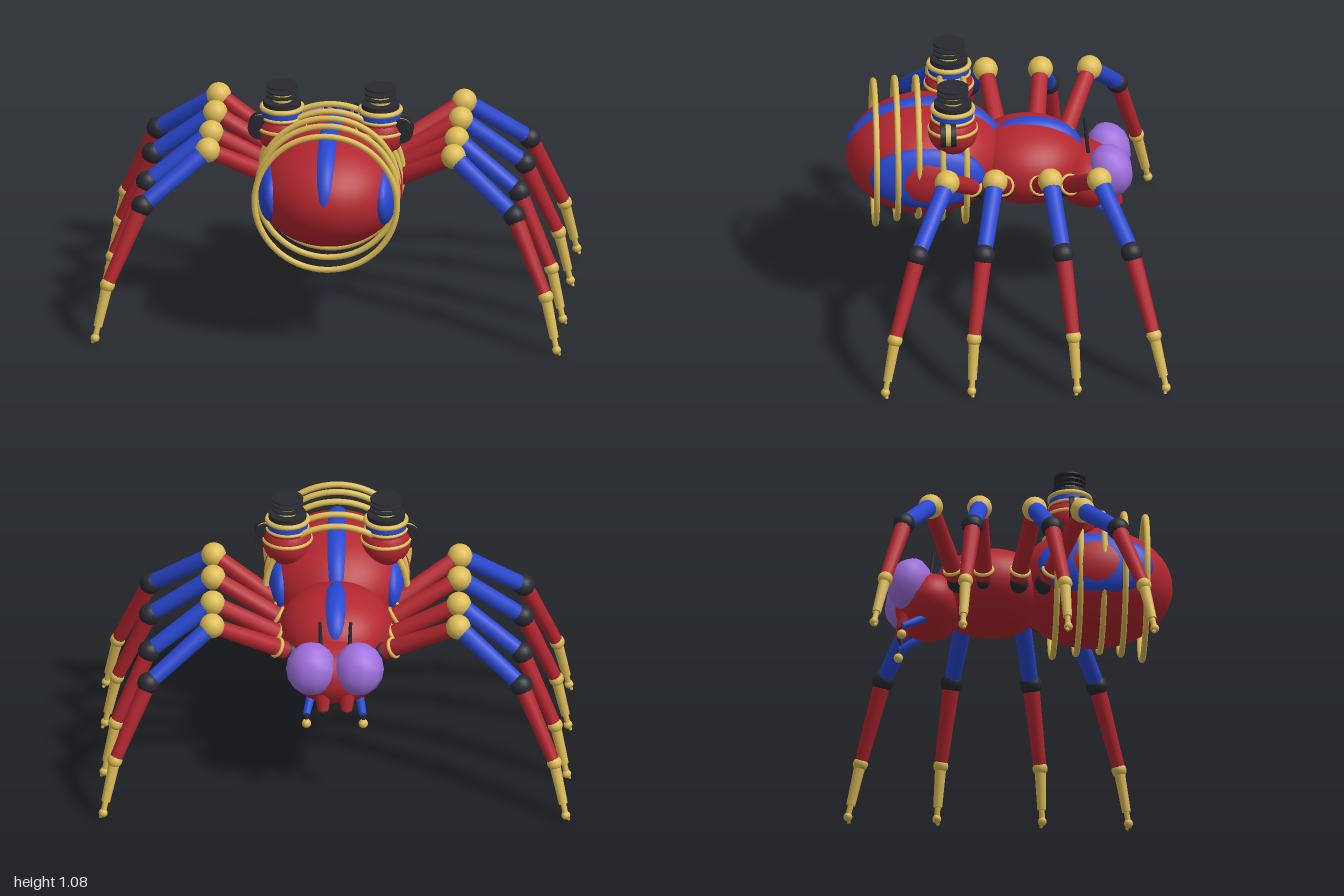
import * as THREE from 'three';

const mat = (name, color) => {
  const m = new THREE.MeshStandardMaterial({ color });
  m.name = name;
  return m;
};
const V = (x, y, z) => new THREE.Vector3(x, y, z);

export function createModel() {
  const red = mat('red', 0xb3262f), blue = mat('blue', 0x2948d0), gold = mat('gold', 0xdcbc56);
  const black = mat('black', 0x282a30), purple = mat('purple', 0x9e6edb);
  const root = new THREE.Group();
  root.name = 'mechanicalSpider';

  const add = (parent, name, geo, material, p = V(0, 0, 0)) => {
    const m = new THREE.Mesh(geo, material);
    m.name = name;
    m.position.copy(p);
    parent.add(m);
    return m;
  };
  const ellipsoid = (parent, name, material, p, rx, ry, rz, cols = 40, rows = 28) =>
    add(parent, name, new THREE.SphereGeometry(1, cols, rows).scale(rx, ry, rz), material, p);
  const ball = (parent, name, material, p, r) =>
    add(parent, name, new THREE.SphereGeometry(r, 16, 12), material, p);
  // Tapered rod running from a to b
  const rod = (parent, name, material, a, b, ra, rb, sides = 12) => {
    const d = b.clone().sub(a);
    const m = add(parent, name, new THREE.CylinderGeometry(rb, ra, d.length(), sides), material,
      a.clone().add(b).multiplyScalar(0.5));
    m.quaternion.setFromUnitVectors(V(0, 1, 0), d.normalize());
    return m;
  };
  const disc = (parent, name, material, y0, y1, r) =>
    add(parent, name, new THREE.CylinderGeometry(r, r, y1 - y0, 24), material, V(0, (y0 + y1) / 2, 0));

  // Body, with the head towards -z
  ellipsoid(root, 'abdomen', red, V(0, 0.668, 0.33), 0.31, 0.243, 0.338);
  ellipsoid(root, 'thorax', red, V(0, 0.632, -0.1), 0.24, 0.18, 0.25);
  ellipsoid(root, 'head', red, V(0, 0.56, -0.36), 0.195, 0.133, 0.145);

  // Back stripes: only a narrow band rises out of the body
  ellipsoid(root, 'abdomenStripe', blue, V(0, 0.7, 0.33), 0.105, 0.225, 0.335);
  ellipsoid(root, 'thoraxStripe', blue, V(0, 0.68, -0.12), 0.088, 0.144, 0.215);

  // Hoops around the abdomen: z, centre height, radius
  [[0.545, 0.673, 0.302], [0.455, 0.69, 0.297], [0.365, 0.695, 0.293],
    [0.265, 0.685, 0.295], [0.165, 0.675, 0.3]].forEach(([z, y, r]) =>
    add(root, 'abdomenHoop', new THREE.TorusGeometry(r, 0.013, 10, 64), gold, V(0, y, z)));

  // Legs, head end first: z of hip, knee, middle joint, ankle, foot
  const legs = [
    [-0.25, -0.385, -0.512, -0.6, -0.65],
    [-0.14, -0.178, -0.222, -0.26, -0.274],
    [0.0, 0.055, 0.113, 0.16, 0.172],
    [0.12, 0.258, 0.393, 0.494, 0.537],
  ];

  for (const s of [1, -1]) {
    const side = s > 0 ? 'left' : 'right';

    // Flank patch: the body shows through its middle
    ellipsoid(root, side + 'FlankPatch', blue, V(s * 0.235, 0.67, 0.33), 0.067, 0.144, 0.243);

    for (const [z0, z1, z2, z3, z4] of legs) {
      const leg = new THREE.Group();
      leg.name = side + 'Leg';
      root.add(leg);
      const hip = V(s * 0.19, 0.595, z0), knee = V(s * 0.52, 0.788, z1), mid = V(s * 0.788, 0.58, z2);
      const ankle = V(s * 0.928, 0.256, z3), foot = V(s * 0.977, 0.032, z4);
      const neck = ankle.clone().lerp(foot, 0.78);
      ball(leg, 'hipJoint', black, hip, 0.047);
      const thigh = rod(leg, 'thigh', red, hip, knee, 0.039, 0.034);
      const ring = add(leg, 'hipRing', new THREE.TorusGeometry(0.039, 0.008, 8, 24).rotateX(Math.PI / 2),
        gold, hip.clone().lerp(knee, 0.17));
      ring.quaternion.copy(thigh.quaternion);
      ball(leg, 'knee', gold, knee, 0.053);
      rod(leg, 'upperShin', blue, knee, mid, 0.038, 0.034);
      ball(leg, 'middleJoint', black, mid, 0.047);
      rod(leg, 'lowerShin', red, mid, ankle, 0.036, 0.027);
      ball(leg, 'ankle', gold, ankle, 0.032);
      rod(leg, 'footRod', gold, ankle, neck, 0.024, 0.019);
      rod(leg, 'footNeck', gold, neck, foot, 0.012, 0.012);
      ball(leg, 'footBall', gold, foot, 0.019);
      rod(leg, 'claw', gold, foot, V(s * 0.99, 0.008, z4 - Math.sign(z4) * 0.006), 0.012, 0.006, 8);
    }

    // Face
    const eye = ellipsoid(root, side + 'Eye', purple, V(s * 0.1, 0.62, -0.45), 0.107, 0.114, 0.094, 10, 8);
    eye.rotation.x = 0.3;
    rod(root, side + 'Antenna', black, V(s * 0.06, 0.66, -0.36), V(s * 0.065, 0.785, -0.345), 0.009, 0.007, 8);
    rod(root, side + 'Jaw', red, V(s * 0.05, 0.51, -0.455), V(s * 0.05, 0.435, -0.483), 0.038, 0.022);
    rod(root, side + 'Fang', black, V(s * 0.05, 0.435, -0.483), V(s * 0.045, 0.395, -0.475), 0.012, 0.002, 8);
    rod(root, side + 'Feeler', blue, V(s * 0.1, 0.468, -0.38), V(s * 0.12, 0.415, -0.48), 0.02, 0.015);
    rod(root, side + 'FeelerTip', black, V(s * 0.12, 0.415, -0.48), V(s * 0.12, 0.38, -0.485), 0.008, 0.008, 8);
    ball(root, side + 'FeelerBall', gold, V(s * 0.12, 0.378, -0.485), 0.02);

    // Turret on the abdomen
    const turret = new THREE.Group();
    turret.name = side + 'Turret';
    turret.position.set(s * 0.208, 0, 0.222);
    root.add(turret);
    ellipsoid(turret, 'bowl', red, V(0, 0.875, 0), 0.104, 0.1, 0.104);
    disc(turret, 'collar', red, 0.88, 0.94, 0.09);
    disc(turret, 'blueBand', blue, 0.94, 0.975, 0.087);
    disc(turret, 'deck', black, 0.97, 1.01, 0.08);
    disc(turret, 'post', gold, 1.01, 1.046, 0.042);
    disc(turret, 'innerPlate', black, 1.066, 1.072, 0.04);
    [1.033, 1.055, 1.079].forEach(y => disc(turret, 'coolingPlate', black, y - 0.003, y + 0.003, 0.067));
    // Gold trim: height, radius, thickness
    [[0.89, 0.099, 0.009], [0.94, 0.087, 0.007], [0.98, 0.085, 0.011]].forEach(([y, r, t]) =>
      add(turret, 'goldRing', new THREE.TorusGeometry(r, t, 10, 40).rotateX(Math.PI / 2), gold, V(0, y, 0)));

    // Wheel on the outer side of the turret
    [-0.022, 0.022].forEach(z =>
      add(turret, 'wheel', new THREE.CylinderGeometry(0.052, 0.052, 0.022, 24).rotateX(Math.PI / 2),
        black, V(s * 0.09, 0.9, 0.023 + z)));
    add(turret, 'wheelHub', new THREE.CylinderGeometry(0.046, 0.046, 0.03, 24).rotateX(Math.PI / 2),
      gold, V(s * 0.09, 0.9, 0.023));
  }
  return root;
}
